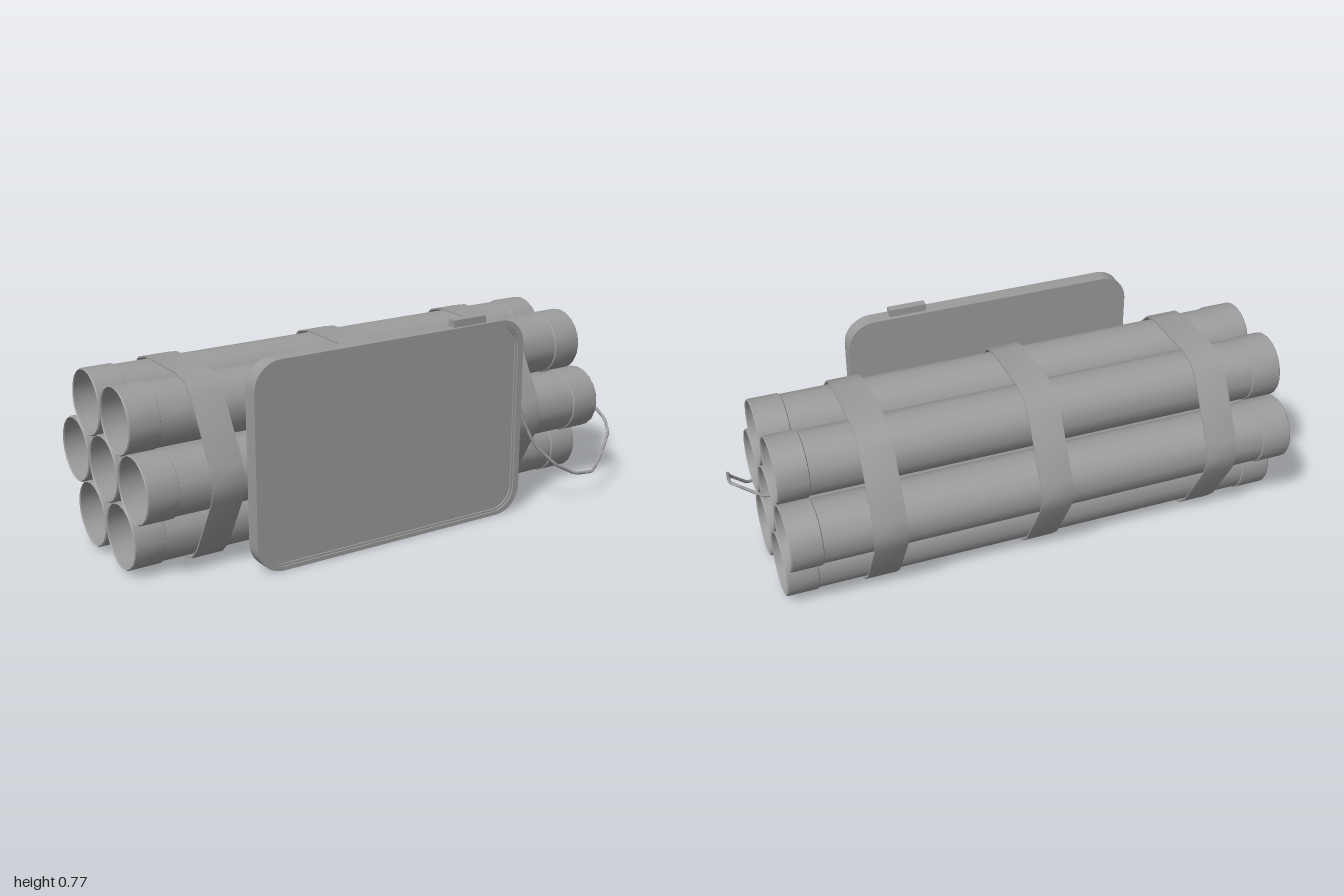
import * as THREE from 'three';
import { toCreasedNormals } from 'three/addons/utils/BufferGeometryUtils.js';

const material = new THREE.MeshStandardMaterial({ color: 0x9b9b9b });
const AXIS_Y = 0.335, AXIS_Z = -0.05, SPACING = 0.24;

function addPart(parent, name, geometry, crease = 0.6) {
  const mesh = new THREE.Mesh(toCreasedNormals(geometry, crease), material);
  mesh.name = name;
  parent.add(mesh);
  return mesh;
}

// Rounded rectangle path centred on the origin
function roundedRect(target, w, h, r) {
  const x = w / 2 - r, y = h / 2 - r;
  target.absarc(x, y, r, 0, Math.PI / 2);
  target.absarc(-x, y, r, Math.PI / 2, Math.PI);
  target.absarc(-x, -y, r, Math.PI, Math.PI * 1.5);
  target.absarc(x, -y, r, Math.PI * 1.5, Math.PI * 2);
  target.closePath();
  return target;
}

// Taut loop around the six outer sticks
function strapLoop(target, r) {
  for (let i = 0; i < 6; i++) {
    const a = i * Math.PI / 3;
    target.absarc(Math.cos(a) * SPACING, Math.sin(a) * SPACING, r, a - Math.PI / 6, a + Math.PI / 6);
  }
  target.closePath();
  return target;
}

export function createModel() {
  const model = new THREE.Group();
  model.name = 'stickBundle';

  // Seven sticks: thicker collars and recessed ends
  const half = [
    [0, 0.836], [0.112, 0.836], [0.112, 0.946], [0.115, 0.95],
    [0.1185, 0.946], [0.1185, 0.837], [0.1135, 0.834],
  ];
  const profile = [
    ...half.map(([r, y]) => new THREE.Vector2(r, -y)),
    ...half.slice().reverse().map(([r, y]) => new THREE.Vector2(r, y)),
  ];
  const stickGeometry = new THREE.LatheGeometry(profile, 20).rotateZ(-Math.PI / 2);
  const sticks = new THREE.Group();
  sticks.name = 'sticks';
  model.add(sticks);
  for (let i = 0; i < 7; i++) {
    const a = i * Math.PI / 3, d = i < 6 ? SPACING : 0;
    addPart(sticks, 'stick', stickGeometry)
      .position.set(-0.05, AXIS_Y + 0.985 * d * Math.sin(a), AXIS_Z + d * Math.cos(a));
  }

  // Three straps, softly shaded around the bends
  const loop = strapLoop(new THREE.Shape(), 0.125);
  loop.holes.push(strapLoop(new THREE.Path(), 0.12));
  const strapGeometry = new THREE.ExtrudeGeometry(loop, { depth: 0.12, bevelEnabled: false, curveSegments: 1 })
    .translate(0, 0, -0.06).rotateY(Math.PI / 2);
  for (const x of [-0.71, -0.06, 0.55]) {
    addPart(model, 'strap', strapGeometry, 0.8).position.set(x, AXIS_Y, AXIS_Z);
  }

  // Tablet: back plate, stepped rim and top button
  const tablet = new THREE.Group();
  tablet.name = 'tablet';
  tablet.position.set(-0.079, 0.375, 0);
  model.add(tablet);
  const outline = (target) => roundedRect(target, 1.112, 0.745, 0.1);
  const ring = (w, h, r) => {
    const shape = outline(new THREE.Shape());
    shape.holes.push(roundedRect(new THREE.Path(), w, h, r));
    return shape;
  };
  const slab = (shape, depth) => new THREE.ExtrudeGeometry(shape, { depth, bevelEnabled: false, curveSegments: 4 });
  addPart(tablet, 'screenPlate', slab(outline(new THREE.Shape()), 0.048)).position.z = 0.3;
  addPart(tablet, 'screenLip', slab(ring(1.048, 0.7, 0.08), 0.006)).position.z = 0.348;
  addPart(tablet, 'screenRim', slab(ring(1.064, 0.716, 0.088), 0.006)).position.z = 0.354;
  addPart(tablet, 'button', new THREE.BoxGeometry(0.14, 0.04, 0.032)).position.set(0.32, 0.379, 0.332);

  // Wire from the tablet's side to the middle stick
  const path = new THREE.CatmullRomCurve3([
    [0.474, 0.45, 0.327], [0.5, 0.36, 0.338], [0.545, 0.25, 0.362], [0.62, 0.165, 0.405],
    [0.72, 0.11, 0.403], [0.81, 0.1, 0.4], [0.9, 0.13, 0.345], [0.965, 0.2, 0.31],
    [0.98, 0.245, 0.27], [0.993, 0.31, 0.12], [0.9, 0.325, -0.02], [0.785, 0.337, -0.05],
  ].map((p) => new THREE.Vector3(...p)), false, 'catmullrom', 0.1);
  addPart(model, 'wire', new THREE.TubeGeometry(path, 66, 0.006, 6), 1.2);

  return model;
}
